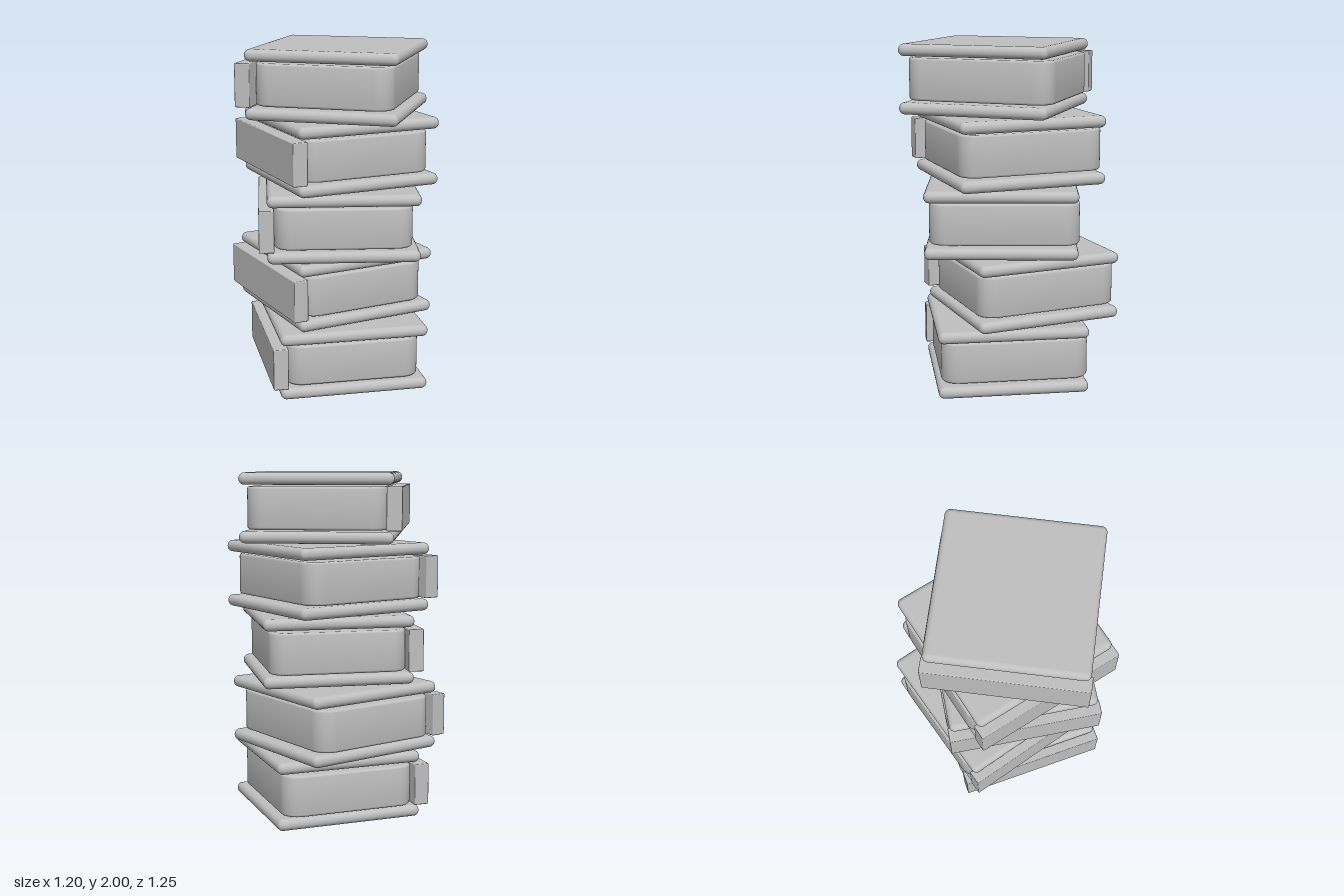
import * as THREE from 'three';
import { toCreasedNormals } from 'three/addons/utils/BufferGeometryUtils.js';
import { RoundedBoxGeometry } from 'three/addons/geometries/RoundedBoxGeometry.js';

const COVER = 0.87, BOARD = 0.068, HEIGHT = 0.394, PITCH = 0.4015;

// Block with rounded vertical corners and a small bevel on top and bottom
function pageBlock(hx, hz, height, r, bevel) {
  const s = new THREE.Shape();
  s.moveTo(-hx + r, -hz);
  s.lineTo(hx - r, -hz);
  s.absarc(hx - r, -hz + r, r, -Math.PI / 2, 0);
  s.lineTo(hx, hz - r);
  s.absarc(hx - r, hz - r, r, 0, Math.PI / 2);
  s.lineTo(-hx + r, hz);
  s.absarc(-hx + r, hz - r, r, Math.PI / 2, Math.PI);
  s.lineTo(-hx, -hz + r);
  s.absarc(-hx + r, -hz + r, r, Math.PI, Math.PI * 1.5);
  const geo = new THREE.ExtrudeGeometry(s, {
    depth: height - 2 * bevel, curveSegments: 8,
    bevelThickness: bevel, bevelSize: bevel, bevelOffset: -bevel, bevelSegments: 3,
  });
  geo.translate(0, 0, bevel - height / 2);
  geo.rotateX(-Math.PI / 2);
  return toCreasedNormals(geo, 0.6);
}

export function createModel() {
  const grey = new THREE.MeshStandardMaterial({ color: 0xbfbfbf });
  grey.name = 'plain grey';

  const coverGeo = new RoundedBoxGeometry(COVER, BOARD, COVER, 4, BOARD / 2 - 0.001);
  const pagesGeo = pageBlock(0.395, 0.4275, 0.24, 0.1, 0.014);
  const spineGeo = new RoundedBoxGeometry(0.087, 0.244, 0.892, 2, 0.006);

  function makeBook() {
    const book = new THREE.Group();
    const add = (name, geo, x, y, z) => {
      const mesh = new THREE.Mesh(geo, grey);
      mesh.name = name;
      mesh.position.set(x, y, z);
      book.add(mesh);
    };
    add('bottomCover', coverGeo, 0, BOARD / 2, 0);
    add('pages', pagesGeo, 0, HEIGHT / 2, -0.0165);
    add('spine', spineGeo, -0.4385, HEIGHT / 2, 0);
    add('topCover', coverGeo, 0, HEIGHT - BOARD / 2, 0);
    return book;
  }

  // Centre x, centre z and turn in degrees, from the bottom book up
  const stack = [
    [0.037, 0.005, 0],
    [0.0225, -0.097, 15.5],
    [0.032, 0.019, -8.5],
    [0.034, -0.016, 13],
    [0.0225, 0.05, -27],
  ];
  const model = new THREE.Group();
  model.name = 'bookStack';
  stack.forEach(([x, z, turn], i) => {
    const book = makeBook();
    book.name = `book${i + 1}`;
    book.position.set(x, i * PITCH, z);
    book.rotation.y = THREE.MathUtils.degToRad(turn);
    model.add(book);
  });
  return model;
}
